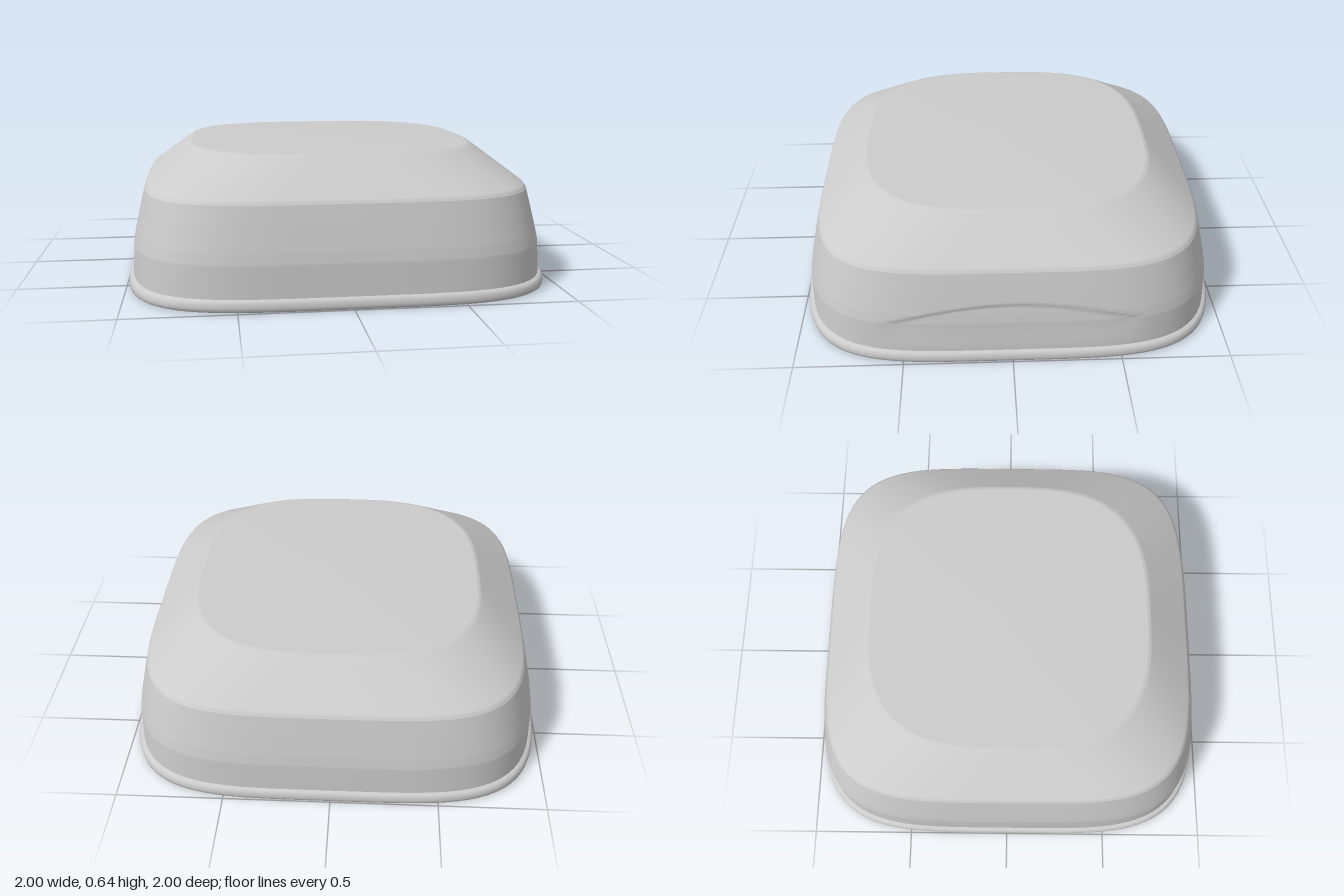
import * as THREE from 'three';

const SIDES = 160;

// Rounded-square ring: half width, height, and squareness n
function ringPoint(half, y, n, j) {
  const t = (j / SIDES) * Math.PI * 2;
  const c = Math.cos(t), s = Math.sin(t);
  const r = half / Math.pow(Math.abs(c) ** n + Math.abs(s) ** n, 1 / n);
  return new THREE.Vector3(c * r, y, s * r);
}

// Skin through rings [half, y, n], each span split into steps; adjust may move a point
function loft(name, rings, material, steps = 1, adjust = null) {
  const rows = [];
  for (let i = 0; i < rings.length - 1; i++) {
    for (let k = 0; k < steps; k++) {
      rows.push(rings[i].map((v, m) => THREE.MathUtils.lerp(v, rings[i + 1][m], k / steps)));
    }
  }
  rows.push(rings[rings.length - 1]);

  const positions = [], index = [];
  rows.forEach(([half, y, n], i) => {
    for (let j = 0; j < SIDES; j++) {
      const p = ringPoint(half, y, n, j);
      if (adjust) adjust(p);
      positions.push(p.x, p.y, p.z);
      if (i < rows.length - 1) {
        const a = i * SIDES + j, b = i * SIDES + (j + 1) % SIDES;
        const c = a + SIDES, d = b + SIDES;
        index.push(a, c, b, b, c, d);
      }
    }
  });
  const geometry = new THREE.BufferGeometry();
  geometry.setAttribute('position', new THREE.Float32BufferAttribute(positions, 3));
  geometry.setIndex(index);
  geometry.computeVertexNormals();
  const mesh = new THREE.Mesh(geometry, material);
  mesh.name = name;
  return mesh;
}

// Shallow arched recess low on the left (+x) wall
function archRecess(p) {
  if (p.x < 0.8 || Math.abs(p.z) > 0.54) return;
  const arch = 0.21 + 0.085 * (1 - (p.z / 0.54) ** 2);
  const depth = THREE.MathUtils.smoothstep(arch - p.y, -0.006, 0.012);
  const lowFade = THREE.MathUtils.smoothstep(p.y, 0.06, 0.2);
  p.x -= 0.008 * depth * lowFade;
}

export function createModel() {
  const group = new THREE.Group();
  group.name = 'roundedSquareDome';
  const grey = new THREE.MeshStandardMaterial({ color: 0xcccccc });
  const N = 4.3; // squareness of the body
  const T = 3.0; // squareness of the top panel

  group.add(
    loft('base', [[0.001, 0, N], [0.99, 0, N]], grey),
    // Lip around the foot
    loft('rim', [[0.99, 0, N], [0.998, 0.006, N], [1, 0.02, N], [0.998, 0.038, N],
      [0.99, 0.05, N], [0.978, 0.054, N]], grey),
    // Tapering side wall
    loft('wall', [[0.978, 0.054, N], [0.972, 0.2, N], [0.963, 0.25, N],
      [0.938, 0.36, N], [0.917, 0.448, N]], grey, 12, archRecess),
    // Sloping shoulder with a softened lower edge
    loft('shoulder', [[0.917, 0.448, N], [0.908, 0.462, N], [0.9, 0.469, N],
      [0.72, 0.615, T + 0.1], [0.705, 0.627, T], [0.69, 0.632, T]], grey, 4),
    // Almost flat, slightly crowned top
    loft('topPanel', [[0.69, 0.632, T], [0.5, 0.638, T], [0.25, 0.643, T],
      [0.001, 0.645, T]], grey),
  );
  return group;
}
